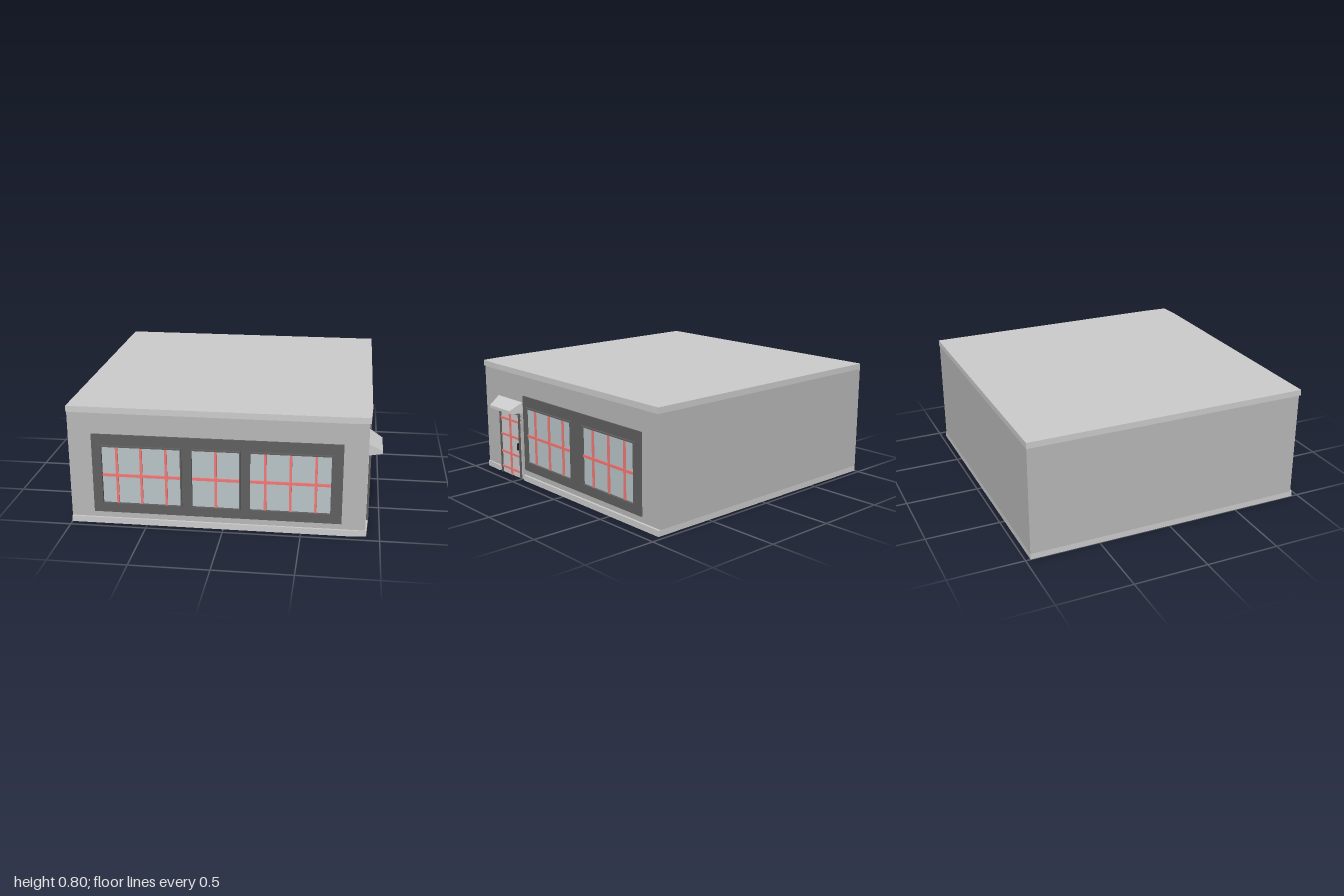
import * as THREE from 'three';
import { mergeVertices } from 'three/addons/utils/BufferGeometryUtils.js';

const paint = (color) => new THREE.MeshStandardMaterial({ color });
const mats = {
  trim: paint(0xcccccc), wall: paint(0xb8b8b8), dark: paint(0x606060),
  glass: paint(0xb9c5c8), red: paint(0xf07a78), black: paint(0x222222),
};

function add(parent, name, geometry, material) {
  const mesh = new THREE.Mesh(geometry, material);
  mesh.name = name;
  parent.add(mesh);
  return mesh;
}

// Box given by its limits on each axis
function box(parent, name, mat, [x0, x1], [y0, y1], [z0, z1]) {
  const m = add(parent, name, new THREE.BoxGeometry(x1 - x0, y1 - y0, z1 - z0), mat);
  m.position.set((x0 + x1) / 2, (y0 + y1) / 2, (z0 + z1) / 2);
  return m;
}

// Upright prism from a plan of [x, z] points
function slab(parent, name, mat, plan, y0, y1) {
  const shape = new THREE.Shape(plan.map(([x, z]) => new THREE.Vector2(x, -z)));
  const g = new THREE.ExtrudeGeometry(shape, { depth: y1 - y0, bevelEnabled: false });
  g.rotateX(-Math.PI / 2).translate(0, y0, 0);
  return add(parent, name, g, mat);
}

// Rectangular plate facing +z with rectangular openings; rects are [x0, x1, y0, y1]
function plate(parent, name, mat, rect, openings, z0, z1) {
  const corners = ([a, b, c, d]) => [[a, c], [b, c], [b, d], [a, d]].map(([x, y]) => new THREE.Vector2(x, y));
  const shape = new THREE.Shape(corners(rect));
  shape.holes = openings.map((o) => new THREE.Path(corners(o)));
  const g = new THREE.ExtrudeGeometry(shape, { depth: z1 - z0, bevelEnabled: false });
  g.translate(0, 0, z0);
  return add(parent, name, g, mat);
}

// Row of windows in one dark surround; z = 0 is the wall face
function windowBand(name, x0, x1, panes) {
  const band = new THREE.Group();
  band.name = name;
  const y0 = 0.142, y1 = 0.545, lip = 0.008;
  const rects = panes.map((p) => [p.x0, p.x1, y0, y1]);
  plate(band, 'windowSurround', mats.dark, [x0, x1, 0.08, 0.617], rects, -0.004, 0.009);
  panes.forEach((p, i) => {
    const inner = [p.x0 + lip, p.x1 - lip, y0 + lip, y1 - lip];
    plate(band, 'windowFrame', mats.dark, rects[i], [inner], -0.002, 0.024);
    box(band, 'windowGlass', mats.glass, [p.x0, p.x1], [y0, y1], [-0.003, 0.006]);
    for (const x of p.bars)
      box(band, 'verticalBar', mats.red, [x - 0.008, x + 0.008], [y0 + lip, y1 - lip], [0.004, 0.015]);
    box(band, 'horizontalBar', mats.red, [inner[0], inner[1]], [0.333, 0.351], [0.004, 0.016]);
  });
  return band;
}

export function createModel() {
  const model = new THREE.Group();
  model.name = 'building';
  const back = -0.967, wallX = 0.908, wallZ = 0.943;

  // Walls, with trim that tapers in towards the front corner
  slab(model, 'walls', mats.wall, [[-1, back], [-1, wallZ], [wallX, wallZ], [wallX, back]], 0.04, 0.76);
  const front = [[-1, back], [-1, 0.957], [0.79, 0.957], [0.916, 0.946]];
  slab(model, 'roofSlab', mats.trim, [...front, [0.925, 0.76], [0.925, back]], 0.76, 0.8);
  // Plinth with a gap for the doorway
  slab(model, 'plinth', mats.trim, [...front, [0.924, 0.785], [wallX, 0.785],
    [wallX, 0.465], [0.925, 0.465], [0.925, back]], 0, 0.04);

  const frontWindows = windowBand('frontWindows', -0.847, 0.757, [
    { x0: -0.789, x1: -0.265, bars: [-0.684, -0.527, -0.366] },
    { x0: -0.206, x1: 0.112, bars: [-0.046] },
    { x0: 0.166, x1: 0.692, bars: [0.27, 0.43, 0.59] },
  ]);
  frontWindows.position.z = wallZ;
  model.add(frontWindows);

  // Side parts are laid out facing +z, then turned to face +x
  const side = new THREE.Group();
  side.name = 'sideFacade';
  side.rotation.y = Math.PI / 2;
  side.position.x = wallX;
  model.add(side);
  side.add(windowBand('sideWindows', -0.458, 0.8, [
    { x0: -0.412, x1: 0.111, bars: [-0.308, -0.148, 0.01] },
    { x0: 0.225, x1: 0.75, bars: [0.334, 0.492, 0.648] },
  ]));

  // Door with its frame, bars and handle
  const door = new THREE.Group();
  door.name = 'door';
  side.add(door);
  const dx0 = -0.75, dx1 = -0.504, top = 0.476, mid = (dx0 + dx1) / 2;
  box(door, 'doorPanel', mats.trim, [dx0, dx1], [0, top], [-0.004, 0.006]);
  for (const x of [dx0, dx1 - 0.006])
    box(door, 'doorJamb', mats.dark, [x, x + 0.006], [0, top], [-0.004, 0.02]);
  box(door, 'doorHead', mats.dark, [dx0, dx1], [top - 0.006, top], [-0.004, 0.02]);
  box(door, 'doorVerticalBar', mats.red, [mid - 0.008, mid + 0.008], [0, top - 0.006], [0.004, 0.014]);
  for (const y of [0.047, 0.162, 0.293, 0.413])
    box(door, 'doorHorizontalBar', mats.red, [dx0 + 0.006, dx1 - 0.006], [y - 0.007, y + 0.007], [0.004, 0.015]);
  box(door, 'doorHandle', mats.black, [-0.527, -0.515], [0.212, 0.262], [0.004, 0.025]);

  // Canopy: a box whose outer face is narrowed and lowered
  let canopyShape = new THREE.BoxGeometry(1, 1, 1);
  canopyShape = mergeVertices(canopyShape).toNonIndexed();
  const p = canopyShape.attributes.position;
  for (let i = 0; i < p.count; i++) {
    const outer = p.getZ(i) > 0, upper = p.getY(i) > 0;
    p.setXYZ(i, mid + Math.sign(p.getX(i)) * (outer ? 0.124 : 0.152),
      upper ? (outer ? 0.512 : 0.568) : (outer ? 0.492 : 0.486), outer ? 1 - wallX : -0.004);
  }
  canopyShape.computeVertexNormals();
  add(side, 'canopy', canopyShape, mats.trim);

  return model;
}
